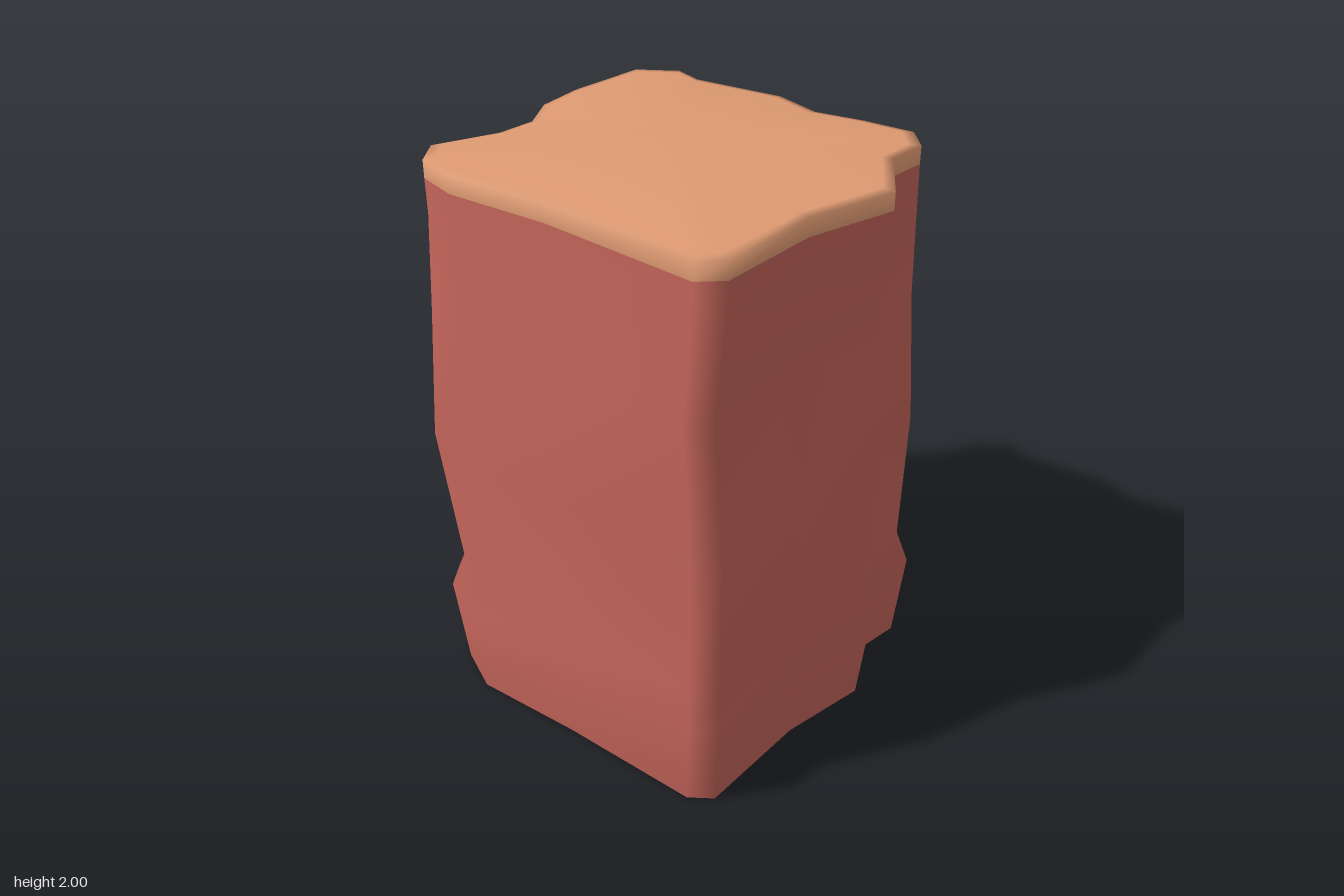
import * as THREE from 'three';

// Plan outlines [x, z], walked along the back, right, front and left sides
const TOP = [
  [-0.49, -0.64], [-0.28, -0.55], [-0.14, -0.54], [0, -0.62], [0.18, -0.64], [0.48, -0.62], [0.565, -0.49],
  [0.53, -0.38], [0.565, -0.05], [0.51, 0.13], [0.54, 0.3], [0.55, 0.48], [0.46, 0.56], [0.31, 0.55],
  [0.09, 0.69], [-0.22, 0.6], [-0.58, 0.59], [-0.645, 0.52], [-0.61, -0.05], [-0.63, -0.42], [-0.59, -0.57],
];
const BASE = [
  [-0.505, -0.7], [-0.28, -0.6], [-0.16, -0.575], [-0.05, -0.64], [0.13, -0.66], [0.56, -0.68], [0.655, -0.54],
  [0.62, -0.39], [0.7, -0.16], [0.7, 0.23], [0.63, 0.32], [0.65, 0.49], [0.52, 0.61], [0.37, 0.585],
  [0.125, 0.7], [-0.2, 0.63], [-0.64, 0.62], [-0.695, 0.54], [-0.69, 0], [-0.705, -0.44], [-0.62, -0.62],
];

// Layers: height, blend from top to base outline, then left, right, back and front reach
const LAYERS = [
  [0, 1, -0.675, 0.685, -0.64, 0.665],
  [0.33, 1, -0.705, 0.7, -0.675, 0.705],
  [0.45, 0.85, -0.66, 0.655, -0.63, 0.67],
  [0.95, 0.6, -0.675, 0.64, -0.705, 0.7],
  [1.41, 0.5, -0.655, 0.665, -0.675, 0.645],
  [1.76, 0.1, -0.65, 0.575, -0.64, 0.69],
  [1.88, 0, -0.65, 0.565, -0.64, 0.695],
];

const tilt = (x, z) => 0.012 * (x - z);

function layerRing([y, blend, left, right, back, front]) {
  const pts = TOP.map(([x, z], i) => [
    x + (BASE[i][0] - x) * blend,
    z + (BASE[i][1] - z) * blend,
  ]);
  const xs = pts.map((p) => p[0]), zs = pts.map((p) => p[1]);
  const x0 = Math.min(...xs), x1 = Math.max(...xs), z0 = Math.min(...zs), z1 = Math.max(...zs);
  return pts.map(([x, z]) => {
    const px = x < 0 ? (x / x0) * left : (x / x1) * right;
    const pz = z < 0 ? (z / z0) * back : (z / z1) * front;
    return [px, y + (y > 1.8 ? tilt(px, pz) : 0), pz];
  });
}

// Skin between rings of equal length, optionally closed by a peak
function loft(rings, peak) {
  const n = rings[0].length, index = [];
  const positions = rings.flat(2);
  for (let j = 0; j < rings.length - 1; j++) {
    for (let i = 0; i < n; i++) {
      const a = j * n + i, b = j * n + ((i + 1) % n);
      index.push(a, a + n, b, b, a + n, b + n);
    }
  }
  if (peak) {
    const start = (rings.length - 1) * n;
    positions.push(...peak);
    for (let i = 0; i < n; i++) index.push(start + i, rings.length * n, start + ((i + 1) % n));
  }
  const geometry = new THREE.BufferGeometry();
  geometry.setAttribute('position', new THREE.Float32BufferAttribute(positions, 3));
  geometry.setIndex(index);
  geometry.computeVertexNormals();
  return geometry;
}

export function createModel() {
  const group = new THREE.Group();
  group.name = 'rockPillar';
  const redRock = new THREE.MeshStandardMaterial({ name: 'redRock', color: 0xc4655a, side: THREE.DoubleSide });
  const sandstone = new THREE.MeshStandardMaterial({ name: 'sandstone', color: 0xde9a72, side: THREE.DoubleSide });

  // Rock walls, open underneath
  const rings = LAYERS.map(layerRing);
  const walls = new THREE.Mesh(loft(rings), redRock);
  walls.name = 'rockWalls';

  // Sandy cap: short rim, softened edge and a shallow rise to the peak
  const rim = rings[rings.length - 1];
  const peak = [-0.05, 2, -0.07];
  const raise = (inset, y) => rim.map(([x, , z]) => [
    x + (peak[0] - x) * inset, y + tilt(x, z), z + (peak[2] - z) * inset,
  ]);
  const cap = new THREE.Mesh(loft([rim, raise(0, 1.94), raise(0.05, 1.945)], peak), sandstone);
  cap.name = 'sandyCap';

  group.add(walls, cap);
  return group;
}
